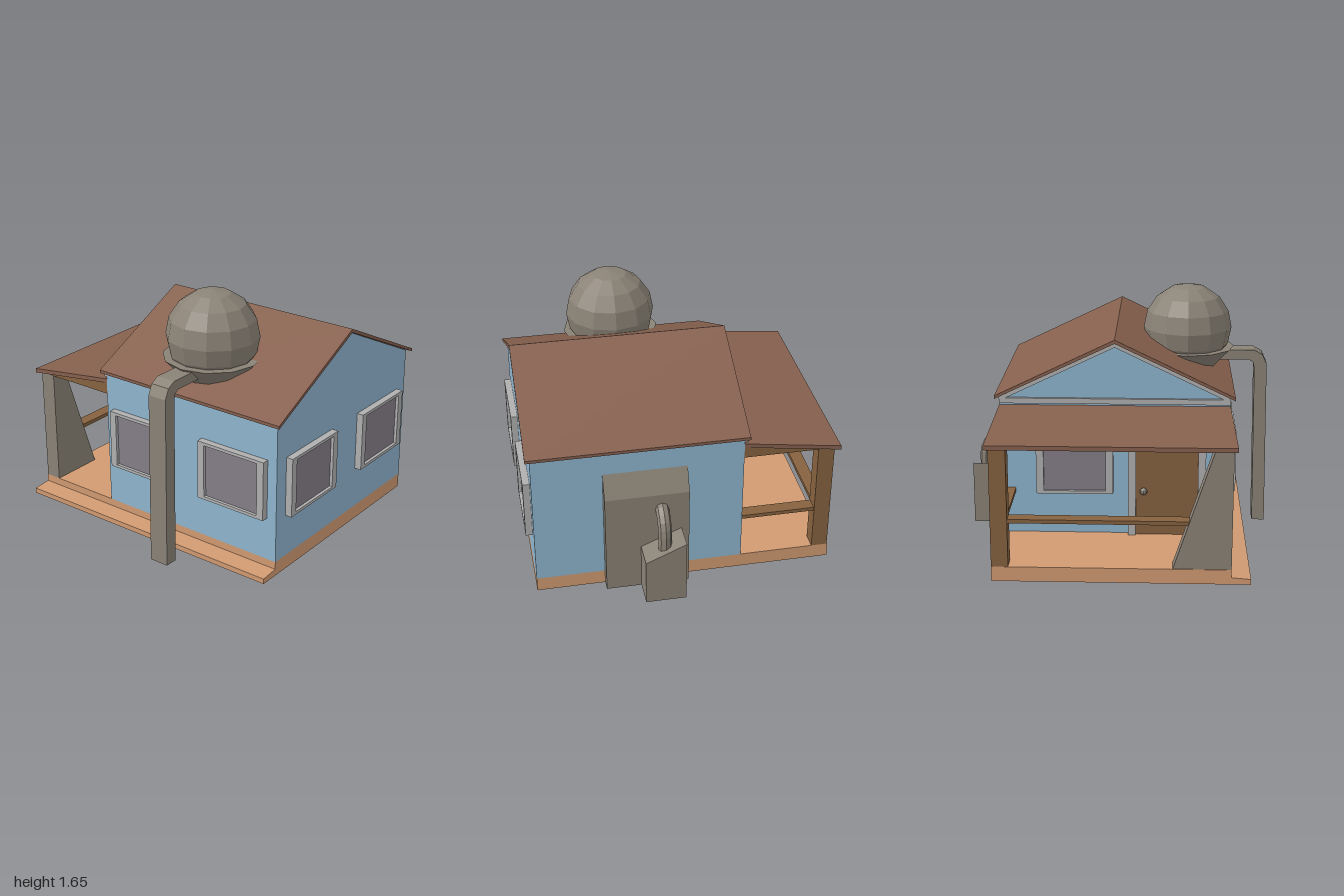
import * as THREE from 'three';

const mat = (color) => new THREE.MeshStandardMaterial({ color, flatShading: true });
const blue = mat(0x8fb5cf), clay = mat(0xd09a72), roofBrown = mat(0x86604e), wood = mat(0x86623f);
const metal = mat(0x8a8276), trim = mat(0xb0b0b0), glass = mat(0x847e88);

export function createModel() {
  const model = new THREE.Group();

  const add = (name, geometry, material, parent = model) => {
    const mesh = new THREE.Mesh(geometry, material);
    mesh.name = name;
    parent.add(mesh);
    return mesh;
  };
  // Box given by its limits on each axis
  const box = (name, material, [x0, x1], [y0, y1], [z0, z1], parent) => {
    const g = new THREE.BoxGeometry(x1 - x0, y1 - y0, z1 - z0);
    g.translate((x0 + x1) / 2, (y0 + y1) / 2, (z0 + z1) / 2);
    return add(name, g, material, parent);
  };
  const toShape = (pts) => new THREE.Shape(pts.map(([a, b]) => new THREE.Vector2(a, b)));
  // Front profile (x, y) pushed from z0 to z1
  const frontProfile = (name, material, pts, z0, z1) => {
    const g = new THREE.ExtrudeGeometry(toShape(pts), { depth: z1 - z0, bevelEnabled: false });
    return add(name, g.translate(0, 0, z0), material);
  };
  // Side profile (z, y) pushed from x0 to x1
  const sideProfile = (name, material, pts, x0, x1) => {
    const g = new THREE.ExtrudeGeometry(toShape(pts), { depth: x1 - x0, bevelEnabled: false });
    return add(name, g.rotateY(-Math.PI / 2).translate(x1, 0, 0), material);
  };

  // Foundation with a low ledge along the right side
  box('foundation', clay, [-0.72, 0.755], [0.025, 0.12], [-0.97, 0.955]);
  frontProfile('ledge', clay, [[-0.84, 0.025], [-0.72, 0.025], [-0.72, 0.07], [-0.84, 0.06]], -0.97, 0.955);

  // House walls with gables
  frontProfile('walls', blue,
    [[-0.72, 0.12], [0.755, 0.12], [0.755, 1.04], [0.017, 1.395], [-0.72, 1.04]], -0.38, 0.955);
  frontProfile('roof', roofBrown,
    [[-0.75, 1.03], [0.017, 1.396], [0.785, 1.03], [0.785, 1.05], [0.017, 1.42], [-0.75, 1.05]], -0.41, 0.985);

  // Trim around the back gable
  box('gableBaseTrim', trim, [-0.72, 0.755], [1.0, 1.035], [-0.4, -0.38]);
  frontProfile('gableSlopeTrim', trim,
    [[-0.72, 1.015], [0.017, 1.37], [0.755, 1.015], [0.755, 1.042], [0.017, 1.394], [-0.72, 1.042]], -0.4, -0.38);

  // Windows: a frame with a hole and a recessed pane, facing +z before turning
  const addWindow = (name, x, z, turn) => {
    const w = 0.248, h = 0.195, b = 0.048, t = 0.02;
    const group = new THREE.Group();
    group.name = name;
    const outer = toShape([[-w, -h], [w, -h], [w, h], [-w, h]]);
    outer.holes.push(new THREE.Path([[b - w, t - h], [b - w, h - t], [w - b, h - t], [w - b, t - h]]
      .map(([a, c]) => new THREE.Vector2(a, c))));
    add('windowFrame', new THREE.ExtrudeGeometry(outer, { depth: 0.045, bevelEnabled: false }), trim, group);
    box('windowPane', glass, [b - w, w - b], [t - h, h - t], [0, 0.025], group);
    group.position.set(x, 0.597, z);
    group.rotation.y = turn;
    model.add(group);
  };
  addWindow('frontRightWindow', -0.375, 0.955, 0);
  addWindow('frontLeftWindow', 0.413, 0.955, 0);
  addWindow('sideBackWindow', -0.72, -0.075, -Math.PI / 2);
  addWindow('sideFrontWindow', -0.72, 0.64, -Math.PI / 2);
  addWindow('backWindow', 0.275, -0.38, Math.PI);

  // Back door
  box('door', wood, [-0.52, -0.12], [0.12, 0.78], [-0.4, -0.38]);
  for (const x of [-0.57, -0.12]) box('doorJamb', trim, [x, x + 0.05], [0.12, 0.83], [-0.42, -0.38]);
  box('doorLintel', trim, [-0.52, -0.12], [0.78, 0.83], [-0.42, -0.38]);
  add('doorKnob', new THREE.SphereGeometry(0.025, 8, 6).translate(-0.17, 0.42, -0.415), metal);

  // Porch roof: a sloping sheet that widens outwards, over a wedge
  const sheet = new THREE.BoxGeometry(1, 0.028, 0.62);
  const p = sheet.attributes.position;
  for (let i = 0; i < p.count; i++) {
    const out = p.getZ(i) < 0;
    const half = out ? 0.76 : 0.738;
    p.setXYZ(i, 0.0175 + Math.sign(p.getX(i)) * half, p.getY(i) + (out ? 0.895 : 0.972), out ? -1 : -0.38);
  }
  add('porchRoof', sheet, roofBrown);
  sideProfile('porchRoofWedge', wood, [[-0.38, 0.88], [-0.38, 0.968], [-0.965, 0.894], [-0.965, 0.88]], -0.715, 0.75);

  // Porch post, rails and tapered buttress
  box('porchPost', wood, [0.65, 0.755], [0.12, 0.885], [-0.965, -0.86]);
  box('sideRail', wood, [0.66, 0.745], [0.4, 0.425], [-0.86, -0.38]);
  box('backRail', wood, [-0.55, 0.65], [0.4, 0.425], [-0.955, -0.87]);
  frontProfile('buttress', metal, [[-0.72, 0.12], [-0.36, 0.12], [-0.61, 0.885], [-0.72, 0.885]], -0.965, -0.86);

  // Round water tank in a flared cradle
  add('tank', new THREE.SphereGeometry(0.295, 12, 8).translate(-0.45, 1.36, 0.27), metal);
  add('tankCradle', new THREE.CylinderGeometry(0.315, 0.18, 0.14, 12).translate(-0.45, 1.16, 0.27), metal);

  // Square drain duct from the cradle to the ground
  frontProfile('drainDuct', metal, [
    [-1.0, 0], [-0.915, 0], [-0.902, 1.09], [-0.893, 1.13], [-0.865, 1.15], [-0.6, 1.15], [-0.6, 1.215],
    [-0.9, 1.215], [-0.955, 1.185], [-0.985, 1.12],
  ], 0.2, 0.33);

  // Wall unit: back plate, sloped cabinet and bent pipe
  frontProfile('wallPlate', metal,
    [[0.755, 0.025], [0.825, 0.025], [0.825, 0.72], [0.755, 0.87]], -0.02, 0.515);
  sideProfile('cabinet', metal, [[0.03, 0.025], [0.29, 0.025], [0.29, 0.335], [0.03, 0.45]], 0.825, 1.0);
  const bend = new THREE.CatmullRomCurve3([[0.8, 0.62], [0.85, 0.605], [0.9, 0.56], [0.922, 0.5], [0.922, 0.36]]
    .map(([x, y]) => new THREE.Vector3(x, y, 0.155)));
  add('cabinetPipe', new THREE.TubeGeometry(bend, 8, 0.043, 8), metal);

  return model;
}
